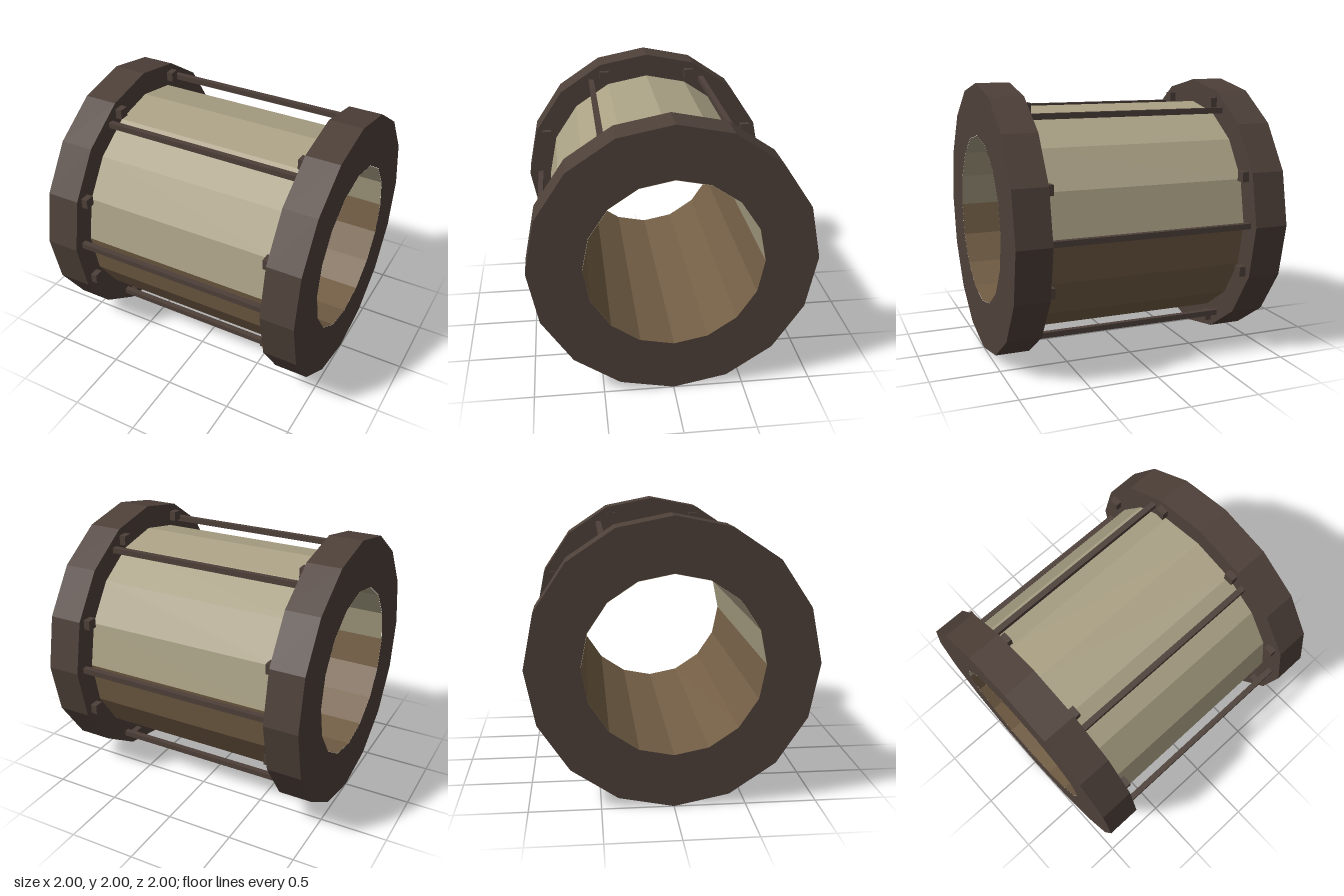
import * as THREE from 'three';

const SIDES = 16;

// regular polygon with a corner at the top
function polygon(radius, PathType) {
  const points = [];
  for (let i = 0; i < SIDES; i++) {
    const a = (i / SIDES) * Math.PI * 2;
    points.push(new THREE.Vector2(Math.sin(a) * radius, Math.cos(a) * radius));
  }
  return new PathType(points);
}

export function createModel() {
  const model = new THREE.Group();
  model.name = 'drum';

  const material = (name, color, side = THREE.FrontSide) =>
    new THREE.MeshStandardMaterial({ name, color, side, flatShading: true });
  const darkWood = material('dark wood', 0x4e4039);
  const cream = material('cream', 0xaaa185, THREE.DoubleSide);
  const brown = material('brown', 0x735e45, THREE.DoubleSide);

  const add = (name, geometry, mat, x = 0, y = 1, z = 0) => {
    const mesh = new THREE.Mesh(geometry, mat);
    mesh.name = name;
    mesh.position.set(x, y, z);
    model.add(mesh);
  };

  // half of a faceted tube lying along x; start 0 is the upper half
  const halfTube = (radius, length, start) =>
    new THREE.CylinderGeometry(radius, radius, length, SIDES / 2, 1, true, start, Math.PI)
      .rotateZ(Math.PI / 2);

  // two-tone shell and inner lining
  add('upperShell', halfTube(0.827, 1.5, 0), cream);
  add('lowerShell', halfTube(0.827, 1.5, Math.PI), brown);
  add('upperLining', halfTube(0.623, 2, 0), cream);
  add('lowerLining', halfTube(0.623, 2, Math.PI), brown);

  // end rings
  const ringShape = polygon(1, THREE.Shape);
  ringShape.holes.push(polygon(0.625, THREE.Path));
  const ring = new THREE.ExtrudeGeometry(ringShape, { depth: 0.25, bevelEnabled: false })
    .translate(0, 0, -0.125)
    .rotateY(Math.PI / 2);
  add('leftRing', ring, darkWood, 0.875);
  add('rightRing', ring, darkWood, -0.875);

  // six rods joining the rings
  const rod = new THREE.BoxGeometry(1.52, 0.041, 0.041);
  for (let i = 0; i < 6; i++) {
    const a = (i / 6) * Math.PI * 2;
    add('rod', rod, darkWood, 0, 1 + Math.sin(a) * 0.91, Math.cos(a) * 0.91);
  }

  // eight pegs on the inner face of each ring
  const peg = new THREE.BoxGeometry(0.07, 0.072, 0.072);
  for (const side of [-1, 1]) {
    for (let i = 0; i < 8; i++) {
      const a = ((i + 0.5) / 8) * Math.PI * 2;
      add('peg', peg, darkWood, side * 0.737, 1 + Math.sin(a) * 0.91, Math.cos(a) * 0.91);
    }
  }

  return model;
}
